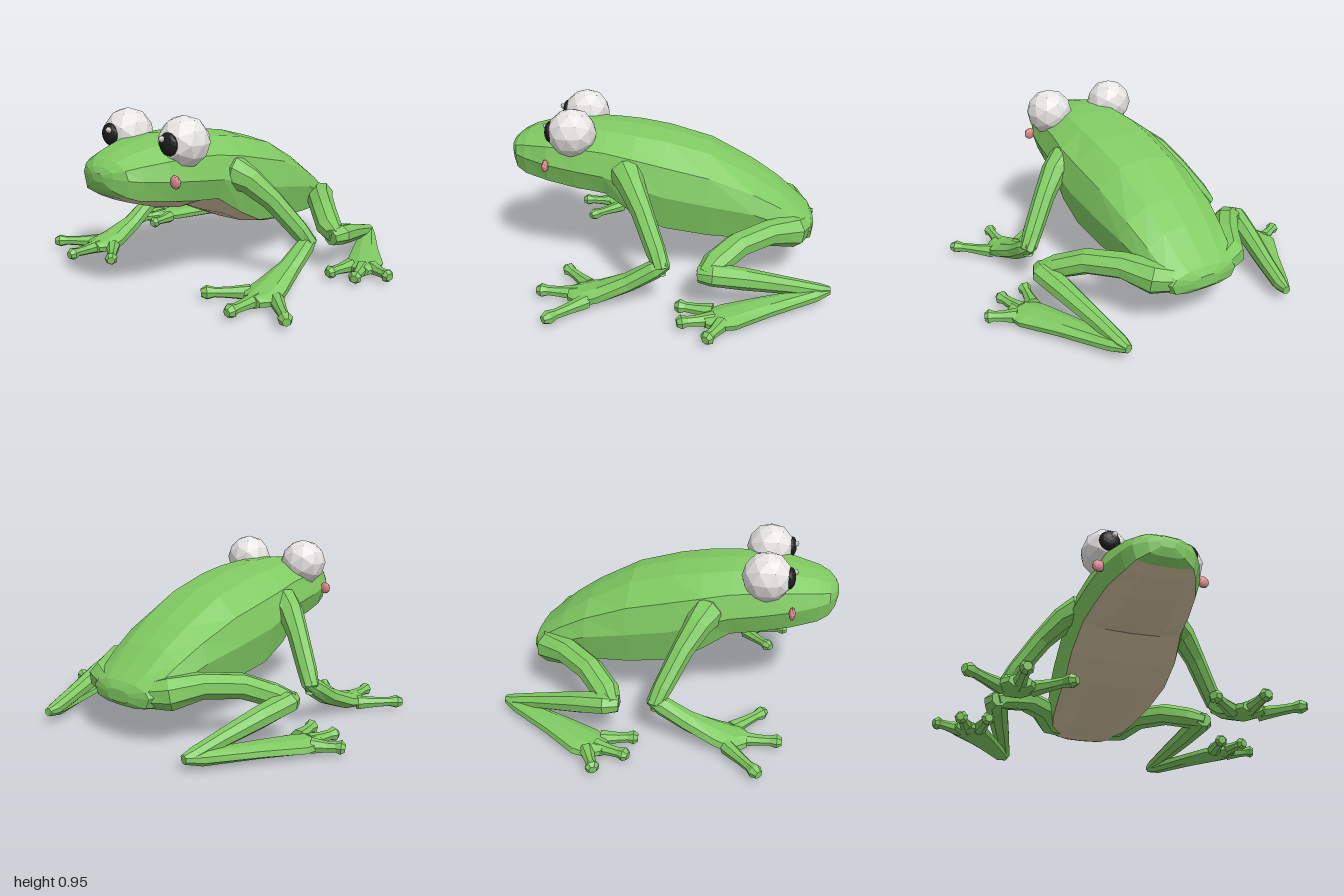
import * as THREE from 'three';

const paint = (name, color) => {
  const m = new THREE.MeshStandardMaterial({ color, flatShading: true });
  m.name = name;
  return m;
};

// Skins counter-clockwise rings; pick(i, j) gives the material slot of each quad
function loft(rings, pick = () => 0) {
  const n = rings[0].length, last = rings.length - 1;
  const slots = [[], []];
  const mid = (r) => r.reduce((s, p) => s.add(p), new THREE.Vector3()).divideScalar(n);
  const c0 = mid(rings[0]), c1 = mid(rings[last]);
  for (let j = 0; j < n; j++) {
    const k = (j + 1) % n;
    for (let i = 0; i < last; i++) {
      const a = rings[i][j], b = rings[i][k], c = rings[i + 1][k], d = rings[i + 1][j];
      slots[pick(i, j)].push(a, b, c, a, c, d);
    }
    slots[0].push(c0, rings[0][k], rings[0][j], c1, rings[last][j], rings[last][k]);
  }
  const geo = new THREE.BufferGeometry().setFromPoints([...slots[0], ...slots[1]]);
  geo.addGroup(0, slots[0].length, 0);
  if (slots[1].length) geo.addGroup(slots[0].length, slots[1].length, 1);
  geo.computeVertexNormals();
  return geo;
}

// Tapered limb through stations [x, y, z, half width, half height]
function limb(stations, side, sides = 8) {
  const pts = stations.map(([x, y, z]) => new THREE.Vector3(x * side, y, z));
  const up = new THREE.Vector3(0, 1, 0);
  const rings = pts.map((p, i) => {
    const t = new THREE.Vector3();
    if (i > 0) t.add(p.clone().sub(pts[i - 1]).normalize());
    if (i < pts.length - 1) t.add(pts[i + 1].clone().sub(p).normalize());
    t.normalize();
    const s = up.clone().cross(t).normalize();
    const u = t.clone().cross(s);
    const [, , , rx, ry = rx] = stations[i];
    return Array.from({ length: sides }, (_, j) => {
      const a = (j / sides) * Math.PI * 2 + 0.3;
      return p.clone().addScaledVector(s, rx * Math.cos(a)).addScaledVector(u, ry * Math.sin(a));
    });
  });
  return loft(rings);
}

export function createModel() {
  const green = paint('skin green', 0x80ca62);
  const brown = paint('belly tan', 0xd3c2a0);
  const white = paint('eye white', 0xeeecea);
  const black = paint('pupil black', 0x1d1d1f);
  const pink = paint('cheek pink', 0xe08a90);

  const model = new THREE.Group();
  model.name = 'frog';
  const add = (parent, name, geo, mat) => {
    const m = new THREE.Mesh(geo, mat);
    m.name = name;
    parent.add(m);
    return m;
  };
  const ball = (parent, name, mat, pos, size, detail = 1) => {
    const m = add(parent, name, new THREE.IcosahedronGeometry(1, detail), mat);
    m.position.set(...pos);
    m.scale.set(...size);
  };

  // Body and head: [z, half width, bottom, belly edge, widest, top]
  const sections = [
    [-0.853, 0.08, 0.225, 0.235, 0.265, 0.29],
    [-0.83, 0.2, 0.2, 0.22, 0.27, 0.33],
    [-0.78, 0.24, 0.185, 0.22, 0.29, 0.37],
    [-0.65, 0.27, 0.178, 0.225, 0.34, 0.485],
    [-0.50, 0.30, 0.178, 0.24, 0.40, 0.585],
    [-0.25, 0.325, 0.205, 0.26, 0.45, 0.72],
    [0.00, 0.34, 0.265, 0.30, 0.50, 0.79],
    [0.17, 0.345, 0.345, 0.385, 0.56, 0.815],
    [0.33, 0.32, 0.455, 0.49, 0.60, 0.83],
    [0.50, 0.30, 0.445, 0.51, 0.62, 0.835],
    [0.66, 0.27, 0.48, 0.535, 0.64, 0.815],
    [0.80, 0.21, 0.53, 0.555, 0.655, 0.78],
    [0.86, 0.17, 0.565, 0.58, 0.665, 0.75],
    [0.895, 0.1, 0.6, 0.61, 0.67, 0.72],
    [0.912, 0.04, 0.645, 0.65, 0.675, 0.69],
  ];
  const rings = sections.map(([z, w, yb, ye, ym, yt]) => {
    const half = [
      [0, yb], [0.5 * w, yb + 0.15 * (ye - yb)], [0.88 * w, ye], [w, ym],
      [0.88 * w, ym + 0.55 * (yt - ym)], [0.5 * w, yt - 0.08 * (yt - ym)], [0, yt],
    ];
    const mirrored = half.slice(1, -1).reverse().map(([x, y]) => [-x, y]);
    return [...half, ...mirrored].map(([x, y]) => new THREE.Vector3(x, y, z));
  });
  const isBelly = (i, j) => ((j < 2 || j > 9) && i > 0 && i < sections.length - 3 ? 1 : 0);
  add(model, 'body', loft(rings, isBelly), [green, brown]);

  for (const side of [1, -1]) {
    const label = side > 0 ? 'left' : 'right';
    const part = (name) => {
      const g = new THREE.Group();
      g.name = label + name;
      model.add(g);
      return g;
    };

    // Eye, pupil, glint and cheek
    const face = part('Face');
    ball(face, 'eyeball', white, [side * 0.21, 0.815, 0.515], [0.137, 0.137, 0.137]);
    ball(face, 'pupil', black, [side * 0.22, 0.82, 0.636], [0.058, 0.06, 0.03], 2);
    ball(face, 'glint', white, [side * 0.2, 0.848, 0.664], [0.017, 0.017, 0.014]);
    ball(face, 'cheek', pink, [side * 0.287, 0.642, 0.66], [0.034, 0.036, 0.018]);

    // Toe with a rounded tip, from root to tip
    const toe = (parent, [x0, z0], [x1, z1]) => {
      const at = (f, y, r) => [x0 + (x1 - x0) * f, y, z0 + (z1 - z0) * f, r];
      const path = [at(0, 0.045, 0.042), at(0.45, 0.046, 0.03), at(0.72, 0.048, 0.027),
        at(0.88, 0.048, 0.038), at(1, 0.046, 0.022)];
      add(parent, 'toe', limb(path, side, 7), green);
    };

    // Front leg
    const front = part('FrontLeg');
    add(front, 'upperArm', limb([
      [0.2, 0.6, 0.22, 0.06], [0.29, 0.61, 0.2, 0.095], [0.36, 0.57, 0.165, 0.075], [0.46, 0.465, 0.095, 0.06],
      [0.58, 0.3, 0.01, 0.054], [0.625, 0.23, -0.025, 0.047], [0.625, 0.19, -0.02, 0.03],
    ], side), green);
    add(front, 'forearm', limb([
      [0.622, 0.25, -0.055, 0.03], [0.622, 0.215, 0.01, 0.05, 0.052], [0.62, 0.13, 0.15, 0.064, 0.05],
      [0.62, 0.065, 0.31, 0.1, 0.048], [0.625, 0.046, 0.4, 0.115, 0.042], [0.62, 0.045, 0.47, 0.06, 0.035],
    ], side), green);
    toe(front, [0.54, 0.38], [0.355, 0.555]);
    toe(front, [0.62, 0.43], [0.615, 0.655]);
    toe(front, [0.7, 0.37], [0.895, 0.55]);

    // Hind leg
    const hind = part('HindLeg');
    add(hind, 'thigh', limb([
      [0.14, 0.27, -0.77, 0.07], [0.24, 0.285, -0.72, 0.09], [0.33, 0.31, -0.58, 0.08, 0.07],
      [0.46, 0.295, -0.42, 0.075, 0.068], [0.58, 0.24, -0.3, 0.075, 0.063], [0.66, 0.21, -0.25, 0.048],
    ], side), green);
    add(hind, 'shank', limb([
      [0.64, 0.21, -0.22, 0.045], [0.65, 0.215, -0.29, 0.072, 0.058], [0.61, 0.175, -0.46, 0.062, 0.058],
      [0.55, 0.115, -0.7, 0.047, 0.045], [0.515, 0.075, -0.86, 0.04, 0.038], [0.505, 0.07, -0.915, 0.022, 0.025],
    ], side), green);
    add(hind, 'foot', limb([
      [0.505, 0.07, -0.91, 0.025, 0.025], [0.54, 0.06, -0.83, 0.047, 0.038], [0.67, 0.052, -0.57, 0.08, 0.038],
      [0.775, 0.045, -0.38, 0.108, 0.038], [0.805, 0.043, -0.31, 0.09, 0.035], [0.82, 0.043, -0.26, 0.045, 0.03],
    ], side), green);
    toe(hind, [0.84, -0.35], [0.99, -0.275]);
    toe(hind, [0.8, -0.31], [0.855, -0.125]);
    toe(hind, [0.73, -0.3], [0.7, -0.105]);
  }
  return model;
}
